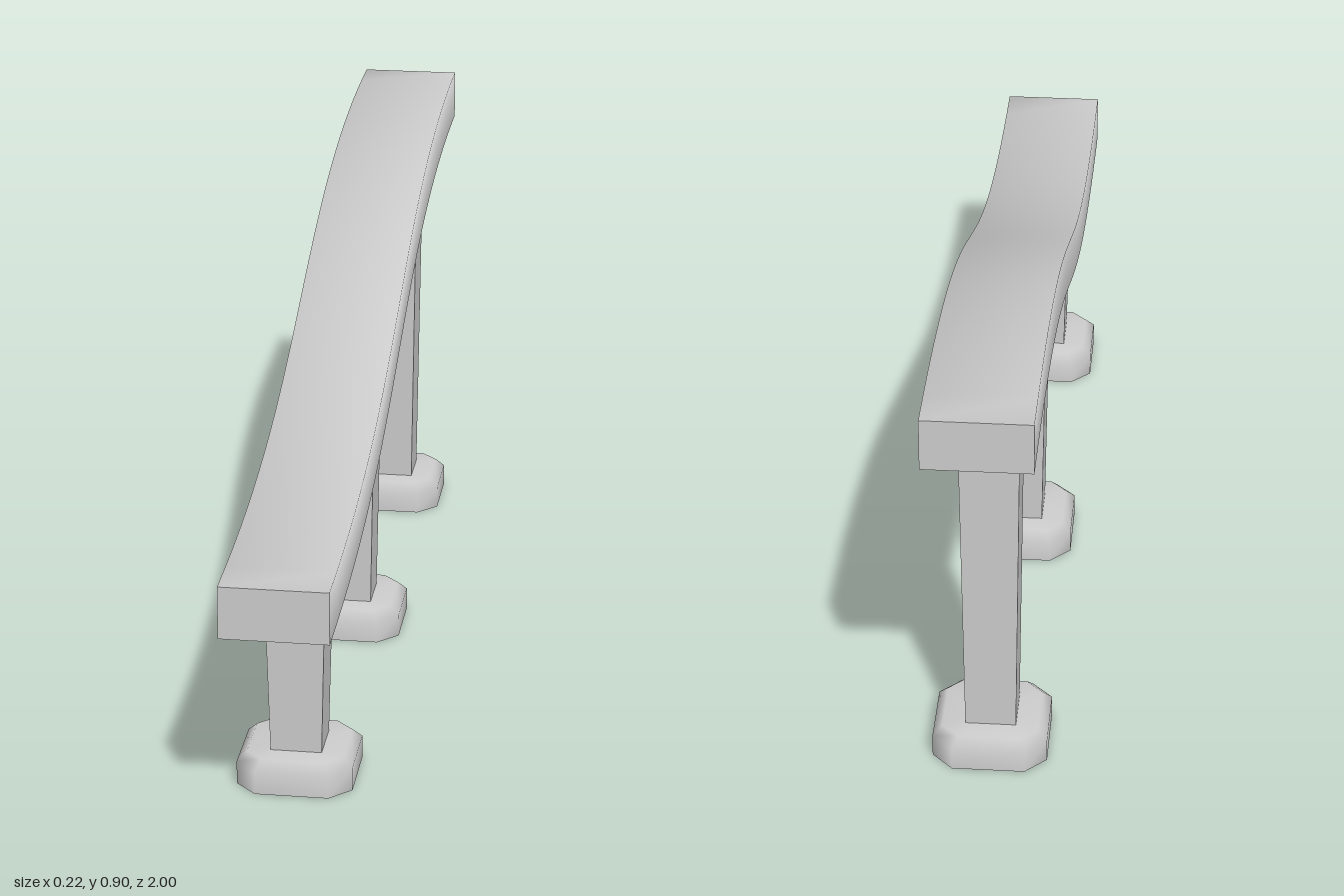
import * as THREE from 'three';
import { mergeVertices } from 'three/addons/utils/BufferGeometryUtils.js';

const smooth = new THREE.MeshStandardMaterial({ color: 0xcccccc });
const flat = new THREE.MeshStandardMaterial({ color: 0xcccccc, flatShading: true });
const open = new THREE.MeshStandardMaterial({ color: 0xcccccc, side: THREE.DoubleSide });

// Smooth skin through a list of rings, each with the same number of points
function loft(rings) {
  const n = rings[0].length;
  const index = [];
  for (let i = 0; i < rings.length - 1; i++) {
    for (let j = 0; j < n - 1; j++) {
      const a = i * n + j, b = a + n;
      index.push(a, b, a + 1, b, b + 1, a + 1);
    }
  }
  const geo = new THREE.BufferGeometry();
  geo.setAttribute('position', new THREE.Float32BufferAttribute(rings.flat(2), 3));
  geo.setIndex(index);
  const merged = mergeVertices(geo);
  merged.computeVertexNormals();
  return merged;
}

function add(parent, name, geometry, material) {
  const mesh = new THREE.Mesh(geometry, material);
  mesh.name = name;
  parent.add(mesh);
  return mesh;
}

// S-shaped beam rising from the front (+z) to the back
function createBeam() {
  const beam = new THREE.Group();
  beam.name = 'beam';
  const w = 0.1, thick = 0.1;
  const path = new THREE.CubicBezierCurve3(
    new THREE.Vector3(0, 0.4, 1), new THREE.Vector3(0, 0.4, 0),
    new THREE.Vector3(0, 0.8, 0), new THREE.Vector3(0, 0.8, -1));
  const points = path.getPoints(32);

  // Top and sides share normals, the underside and ends stay sharp
  add(beam, 'beamTopAndSides', loft(points.map(({ y, z }) => [
    [w, y, z], [w, y + thick, z], [-w, y + thick, z], [-w, y, z]])), smooth);
  add(beam, 'beamUnderside', loft(points.map(({ y, z }) => [[-w, y, z], [w, y, z]])), smooth);

  const end = new THREE.PlaneGeometry(2 * w, thick);
  add(beam, 'beamFrontEnd', end, flat).position.set(0, 0.45, 1);
  const back = add(beam, 'beamBackEnd', end, flat);
  back.position.set(0, 0.85, -1);
  back.rotation.y = Math.PI;
  return beam;
}

// Square outline with cut corners, closed, at height y
function footRing(half, cut, y) {
  return [[half, -cut], [half, cut], [cut, half], [-cut, half], [-half, cut],
    [-half, -cut], [-cut, -half], [cut, -half], [half, -cut]].map(([x, z]) => [x, y, z]);
}

// Hollow foot with a bevelled top, open underneath
function createFootGeometry() {
  return loft([
    footRing(0.109, 0.069, 0),
    footRing(0.109, 0.069, 0.045),
    footRing(0.091, 0.059, 0.063),
    footRing(0, 0, 0.063)
  ]);
}

// Square pillar, wider at the top, running a little into the beam
function createPillarGeometry(underside) {
  const bottom = 0.055, top = underside + 0.05;
  const geo = new THREE.CylinderGeometry(
    0.058 * Math.SQRT2, 0.048 * Math.SQRT2, top - bottom, 4);
  geo.rotateY(Math.PI / 4);
  geo.translate(0, (top + bottom) / 2, 0);
  return geo;
}

export function createModel() {
  const model = new THREE.Group();
  model.name = 'raisedBeam';
  model.add(createBeam());

  const foot = createFootGeometry();
  const supports = [['front', 0.7, 0.415], ['middle', 0, 0.6], ['back', -0.7, 0.785]];
  for (const [place, z, underside] of supports) {
    const support = new THREE.Group();
    support.name = place + 'Support';
    support.position.z = z;
    add(support, place + 'Pillar', createPillarGeometry(underside), flat);
    add(support, place + 'Foot', foot, open);
    model.add(support);
  }
  return model;
}
